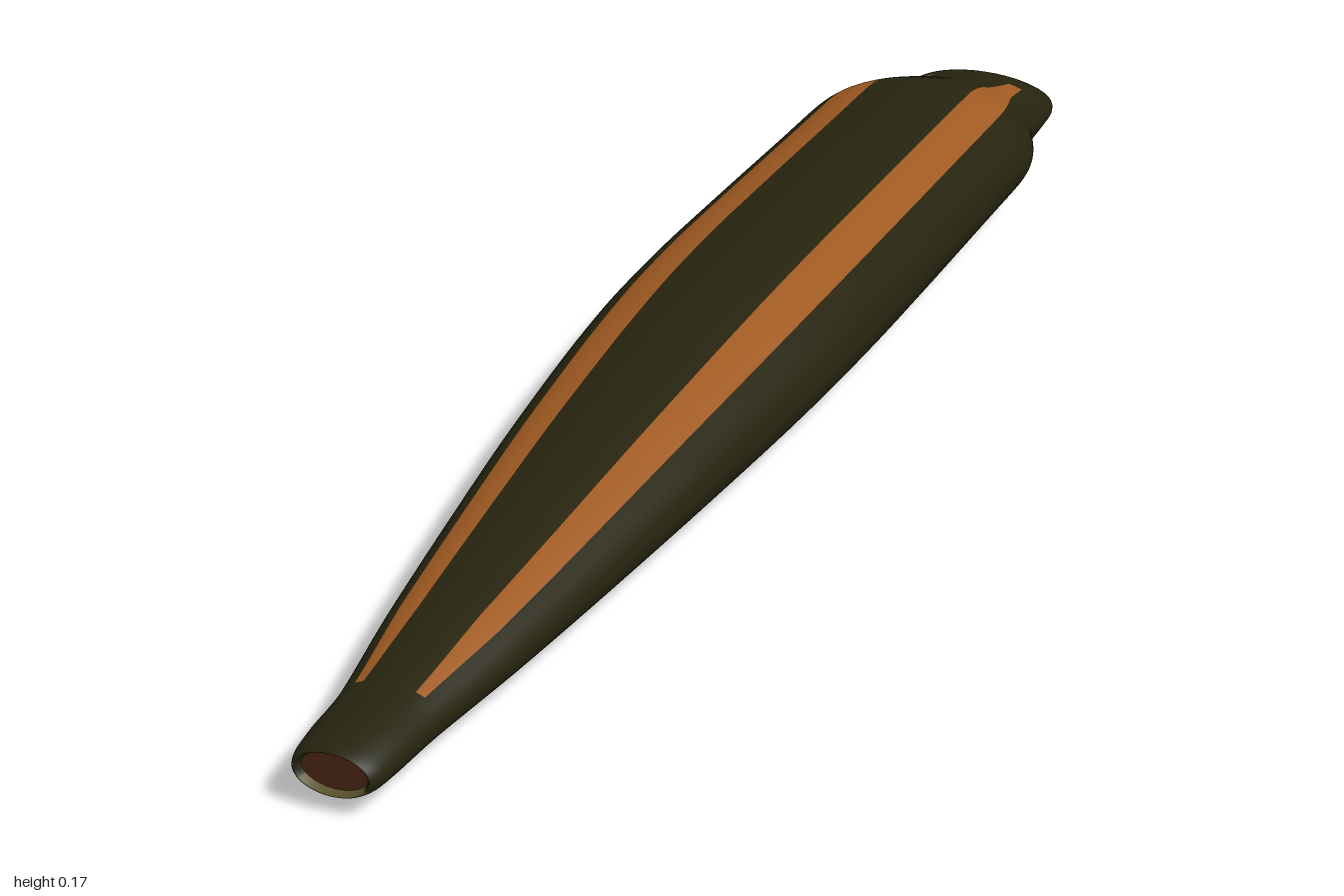
import * as THREE from 'three';

const skin = (name, color) => {
  const m = new THREE.MeshStandardMaterial({ color });
  m.name = name;
  return m;
};

// Body stations, head to tail: z, half width, underside y, top y
const stations = [
  [0.988, 0.034, 0.024, 0.062], [1, 0.040, 0.020, 0.066], [0.985, 0.047, 0.016, 0.070],
  [0.95, 0.051, 0.014, 0.074], [0.88, 0.056, 0.012, 0.077], [0.75, 0.077, 0.010, 0.094],
  [0.6, 0.097, 0.008, 0.113], [0.4, 0.121, 0.006, 0.138], [0.2, 0.141, 0.004, 0.158],
  [0.05, 0.152, 0.003, 0.169], [-0.1, 0.157, 0.002, 0.174], [-0.3, 0.158, 0.001, 0.175],
  [-0.5, 0.158, 0.001, 0.175], [-0.64, 0.158, 0.001, 0.175], [-0.69, 0.150, 0.001, 0.169],
  [-0.75, 0.130, 0.002, 0.151], [-0.81, 0.113, 0.005, 0.131], [-0.88, 0.109, 0.013, 0.113],
  [-0.92, 0.107, 0.020, 0.105], [-0.955, 0.093, 0.028, 0.089], [-0.983, 0.060, 0.037, 0.076],
  [-0.996, 0.029, 0.046, 0.066], [-1, 0, 0.056, 0.056],
];
const STEPS = 4;
const STRIPE_START = 0.88, STRIPE_END = -0.88;

// Bands round the body from the right of the belly: [start, end] degrees, columns, material
const DARK = 0, STRIPE = 1, BELLY = 2;
function bandsAt(z) {
  const fade = THREE.MathUtils.clamp(Math.min(STRIPE_START - z, z - STRIPE_END) / 0.12, 0, 1);
  const half = 6 + 5 * fade, lo = 54 - half, hi = 54 + half;
  return [
    [-27, lo, 10, DARK], [lo, hi, 4, STRIPE], [hi, 180 - hi, 10, DARK],
    [180 - hi, 180 - lo, 4, STRIPE], [180 - lo, 207, 10, DARK], [207, 333, 18, BELLY],
  ];
}

function createBody(materials) {
  const outline = new THREE.CatmullRomCurve3(
    stations.map(([z, w]) => new THREE.Vector3(z, w, 0)), false, 'catmullrom', 0.4);
  const heights = new THREE.CatmullRomCurve3(
    stations.map(([z, , b, t]) => new THREE.Vector3(z, b, t)), false, 'catmullrom', 0.4);
  const rings = (stations.length - 1) * STEPS;
  const positions = [], ringZ = [];
  for (let i = 0; i <= rings; i++) {
    const { x: z, y: w } = outline.getPoint(i / rings);
    const { y: bottom, z: top } = heights.getPoint(i / rings);
    ringZ.push(z);
    for (const [from, to, n] of bandsAt(z)) {
      for (let k = 0; k < n; k++) {
        const a = THREE.MathUtils.degToRad(from + ((to - from) * k) / n);
        positions.push(w * Math.cos(a), (bottom + top) / 2 + ((top - bottom) / 2) * Math.sin(a), z);
      }
    }
  }
  const colours = bandsAt(0).flatMap(([, , n, m]) => Array(n).fill(m));
  const cols = colours.length;
  const faces = [[], [], []];
  for (let i = 0; i < rings; i++) {
    const z = (ringZ[i] + ringZ[i + 1]) / 2;
    const striped = z < STRIPE_START && z > STRIPE_END;
    for (let j = 0; j < cols; j++) {
      const a = i * cols + j, b = i * cols + ((j + 1) % cols);
      const c = a + cols, d = b + cols;
      const material = colours[j] === STRIPE && !striped ? DARK : colours[j];
      faces[material].push(a, c, b, b, c, d);
    }
  }
  const geometry = new THREE.BufferGeometry();
  geometry.setAttribute('position', new THREE.Float32BufferAttribute(positions, 3));
  geometry.setIndex(faces.flat());
  let start = 0;
  faces.forEach((list, m) => {
    geometry.addGroup(start, list.length, m);
    start += list.length;
  });
  geometry.computeVertexNormals();
  const body = new THREE.Mesh(geometry, materials);
  body.name = 'body';
  return body;
}

export function createModel() {
  const group = new THREE.Group();
  group.name = 'leech';
  const back = skin('dark olive back', 0x26240f);
  const stripe = skin('orange brown stripe', 0xa05a22);
  const belly = skin('olive belly', 0x58522a);
  const sucker = skin('brown sucker', 0x4c2614);

  group.add(createBody([back, stripe, belly]));

  // Mouth disc set just inside the rim of the head
  const mouth = new THREE.Mesh(new THREE.CircleGeometry(1, 40), sucker);
  mouth.name = 'mouthSucker';
  mouth.scale.set(0.037, 0.0205, 1);
  mouth.position.set(0, 0.043, 0.991);
  group.add(mouth);

  return group;
}
